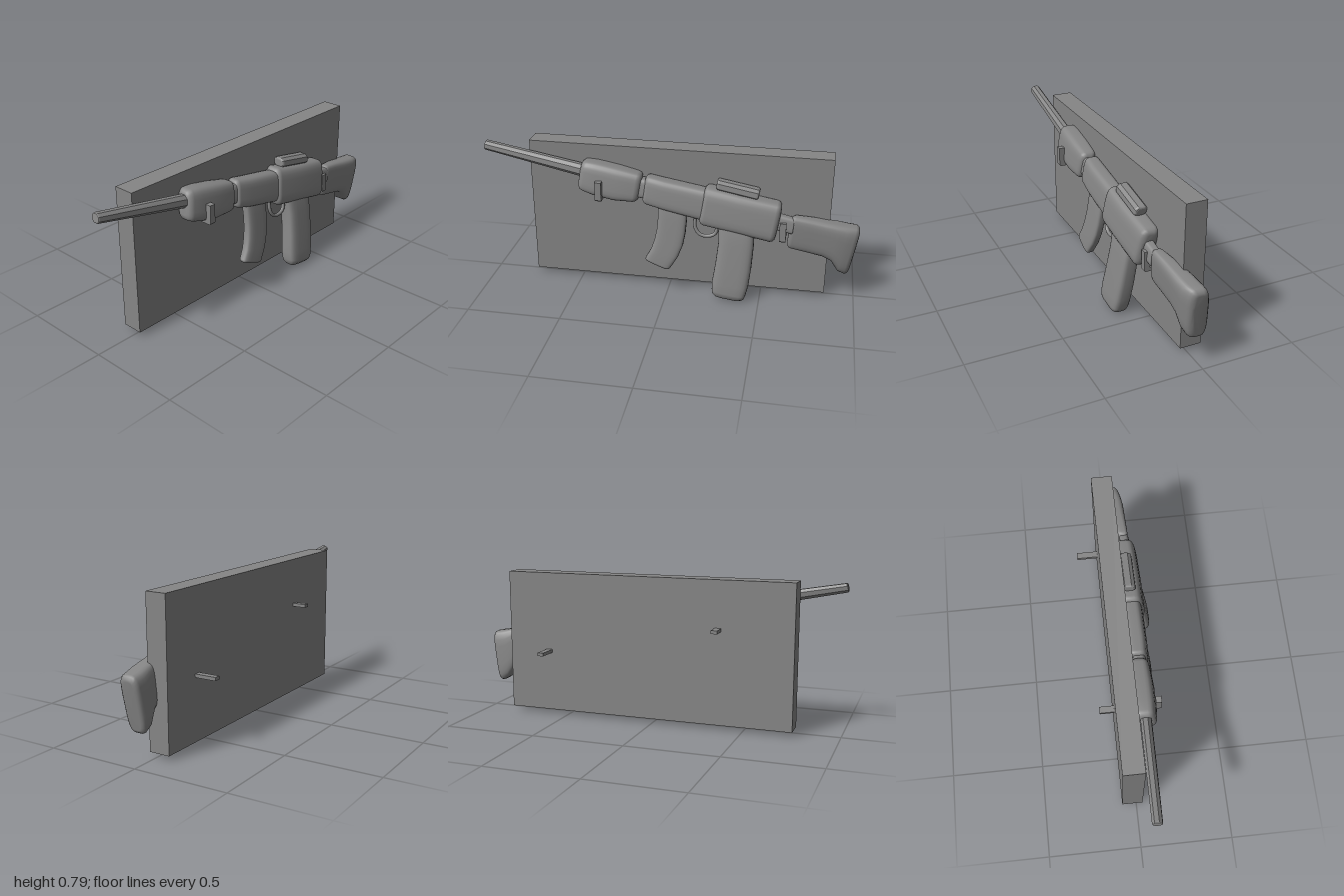
import * as THREE from 'three';

const grey = new THREE.MeshStandardMaterial({ color: 0x868686 });
const greyFlat = new THREE.MeshStandardMaterial({ color: 0x868686, flatShading: true });

// The prop lies along z, sloping down to the back and leaning slightly outward below its axis
const leanX = (z, y) => 0.082 - 0.018 * Math.max(0, z) + 0.14 * (0.555 + 0.186 * z - y);
const stockX = (z, y) => 0.07 + 0.115 * (z + 0.65) + 0.09 * (y - 0.42);

// Skin through rounded cross-sections. Each station: [zA, yA, zB, yB, halfWidth],
// A and B being opposite edges of the side outline. Ends are rounded by radius r.
function loft(name, stations, { r = 0.02, sides = 24, power = 0.5, cx = leanX, flat = false } = {}) {
  const list = stations.map(([za, ya, zb, yb, w]) => ({
    c: new THREE.Vector2((za + zb) / 2, (ya + yb) / 2),
    h: new THREE.Vector2((za - zb) / 2, (ya - yb) / 2), w,
  }));
  const roundEnd = (end, next) => {
    const dir = end.c.clone().sub(next.c).normalize();
    return [1, 0.87, 0.5, 0].map((s) => {
      const shrink = r * (1 - Math.sqrt(1 - s * s));
      return {
        c: end.c.clone().addScaledVector(dir, r * (s - 1)),
        h: end.h.clone().setLength(Math.max(0.004, end.h.length() - shrink)),
        w: Math.max(0.004, end.w - shrink),
      };
    });
  };
  const n = list.length;
  const rings = [
    ...roundEnd(list[0], list[1]),
    ...list.slice(1, -1),
    ...roundEnd(list[n - 1], list[n - 2]).reverse(),
  ];
  const pos = [], idx = [];
  const bend = (v) => Math.sign(v) * Math.pow(Math.abs(v), power);
  for (const { c, h, w } of rings) {
    for (let i = 0; i < sides; i++) {
      const a = ((i + 0.5) / sides) * Math.PI * 2;
      const u = bend(Math.sin(a)), z = c.x + h.x * u, y = c.y + h.y * u;
      pos.push(cx(z, y) + w * bend(Math.cos(a)), y, z);
    }
  }
  for (let k = 0; k < rings.length - 1; k++) {
    for (let i = 0; i < sides; i++) {
      const j = (i + 1) % sides, a = k * sides, b = a + sides;
      idx.push(a + i, a + j, b + j, a + i, b + j, b + i);
    }
  }
  // End caps
  const last = (rings.length - 1) * sides;
  for (let i = 1; i < sides - 1; i++) {
    idx.push(0, i + 1, i, last, last + i, last + i + 1);
  }
  // Turn the faces outward whichever way the stations run
  let volume = 0;
  const p = [0, 1, 2].map(() => new THREE.Vector3());
  for (let t = 0; t < idx.length; t += 3) {
    p.forEach((v, k) => v.fromArray(pos, idx[t + k] * 3));
    volume += p[0].dot(p[1].clone().cross(p[2]));
  }
  if (volume < 0) idx.reverse();
  const g = new THREE.BufferGeometry();
  g.setAttribute('position', new THREE.Float32BufferAttribute(pos, 3));
  g.setIndex(idx);
  g.computeVertexNormals();
  const mesh = new THREE.Mesh(g, flat ? greyFlat : grey);
  mesh.name = name;
  return mesh;
}

// Box given by its limits
function box(name, x0, x1, y0, y1, z0, z1) {
  const mesh = new THREE.Mesh(new THREE.BoxGeometry(x1 - x0, y1 - y0, z1 - z0), grey);
  mesh.position.set((x0 + x1) / 2, (y0 + y1) / 2, (z0 + z1) / 2);
  mesh.name = name;
  return mesh;
}

// L-shaped hook pushed through the panel
function hook(name, x0, x1, y, z, rise) {
  const shape = new THREE.Shape();
  const t = 0.018, up = 0.03, c = 0.006;
  shape.moveTo(x0, y);
  shape.lineTo(x1 - c, y);
  shape.lineTo(x1, y + c);
  shape.lineTo(x1, y + rise);
  shape.lineTo(x1 - up, y + rise);
  shape.lineTo(x1 - up, y + t);
  shape.lineTo(x0, y + t);
  const g = new THREE.ExtrudeGeometry(shape, { depth: 0.034, bevelEnabled: false });
  g.translate(0, 0, z - 0.017);
  const mesh = new THREE.Mesh(g, grey);
  mesh.name = name;
  return mesh;
}

export function createModel() {
  const model = new THREE.Group();
  model.name = 'wallDisplay';

  // Backing panel and the two hooks
  model.add(
    box('backPanel', -0.077, 0.034, 0.02, 0.79, -0.842, 0.762),
    hook('frontHook', -0.153, 0.163, 0.521, 0.362, 0.106),
    hook('rearHook', -0.192, 0.12, 0.346, -0.605, 0.108),
  );

  const prop = new THREE.Group();
  prop.name = 'displayProp';
  model.add(prop);

  // Long parts from front to back
  prop.add(
    loft('barrel', [[0.993, 0.785, 1.002, 0.736, 0.027], [0.44, 0.688, 0.44, 0.618, 0.029]],
      { r: 0.006, sides: 8, power: 0.9, flat: true }),
    loft('handguard', [
      [0.462, 0.72, 0.488, 0.56, 0.05],
      [0.38, 0.71, 0.40, 0.536, 0.055],
      [0.27, 0.69, 0.29, 0.515, 0.055],
      [0.135, 0.662, 0.16, 0.508, 0.048]], { r: 0.03 }),
    loft('frontNeck', [[0.18, 0.643, 0.19, 0.54, 0.032], [0.08, 0.63, 0.09, 0.525, 0.032]], { r: 0.01 }),
    loft('forwardBody', [
      [0.12, 0.658, 0.138, 0.508, 0.042],
      [0.02, 0.638, 0.03, 0.482, 0.046],
      [-0.21, 0.598, -0.19, 0.436, 0.046]], { r: 0.022 }),
    loft('mainBody', [
      [-0.193, 0.622, -0.163, 0.418, 0.056],
      [-0.38, 0.585, -0.36, 0.383, 0.058],
      [-0.597, 0.548, -0.565, 0.342, 0.054]], { r: 0.028 }),
    loft('rearNeck', [[-0.56, 0.495, -0.55, 0.41, 0.026], [-0.662, 0.472, -0.655, 0.39, 0.024]], { r: 0.006 }),
    loft('stock', [
      [-0.648, 0.488, -0.625, 0.298, 0.034],
      [-0.74, 0.474, -0.73, 0.275, 0.042],
      [-0.83, 0.458, -0.815, 0.256, 0.052],
      [-0.885, 0.449, -0.862, 0.232, 0.058],
      [-0.935, 0.439, -0.9, 0.17, 0.06],
      [-1.003, 0.426, -0.957, 0.143, 0.055]], { r: 0.025, cx: stockX }),
    loft('topSight', [[-0.254, 0.658, -0.249, 0.602, 0.036], [-0.478, 0.617, -0.467, 0.56, 0.036]],
      { r: 0.012, sides: 8, power: 0.75, flat: true }),
  );

  // Hanging parts
  prop.add(
    loft('curvedMagazine', [
      [0.055, 0.51, -0.1, 0.49, 0.027],
      [0.053, 0.43, -0.1, 0.42, 0.028],
      [0.057, 0.37, -0.095, 0.35, 0.028],
      [0.068, 0.31, -0.084, 0.285, 0.028],
      [0.088, 0.25, -0.06, 0.22, 0.028],
      [0.122, 0.19, -0.012, 0.14, 0.027]], { r: 0.016 }),
    loft('rearGrip', [
      [-0.265, 0.45, -0.455, 0.42, 0.044],
      [-0.274, 0.33, -0.459, 0.31, 0.047],
      [-0.262, 0.2, -0.452, 0.18, 0.049],
      [-0.248, 0.1, -0.442, 0.085, 0.05],
      [-0.244, 0.017, -0.425, -0.009, 0.049]], { r: 0.04 }),
  );

  // Trigger guard loop
  const guardPath = new THREE.CatmullRomCurve3(
    [[-0.145, 0.45], [-0.145, 0.39], [-0.17, 0.352], [-0.21, 0.343], [-0.25, 0.358], [-0.268, 0.42]]
      .map(([z, y]) => new THREE.Vector3(leanX(z, y), y, z)));
  const guard = new THREE.Mesh(new THREE.TubeGeometry(guardPath, 24, 0.01, 8), grey);
  guard.name = 'triggerGuard';
  prop.add(guard);

  return model;
}
